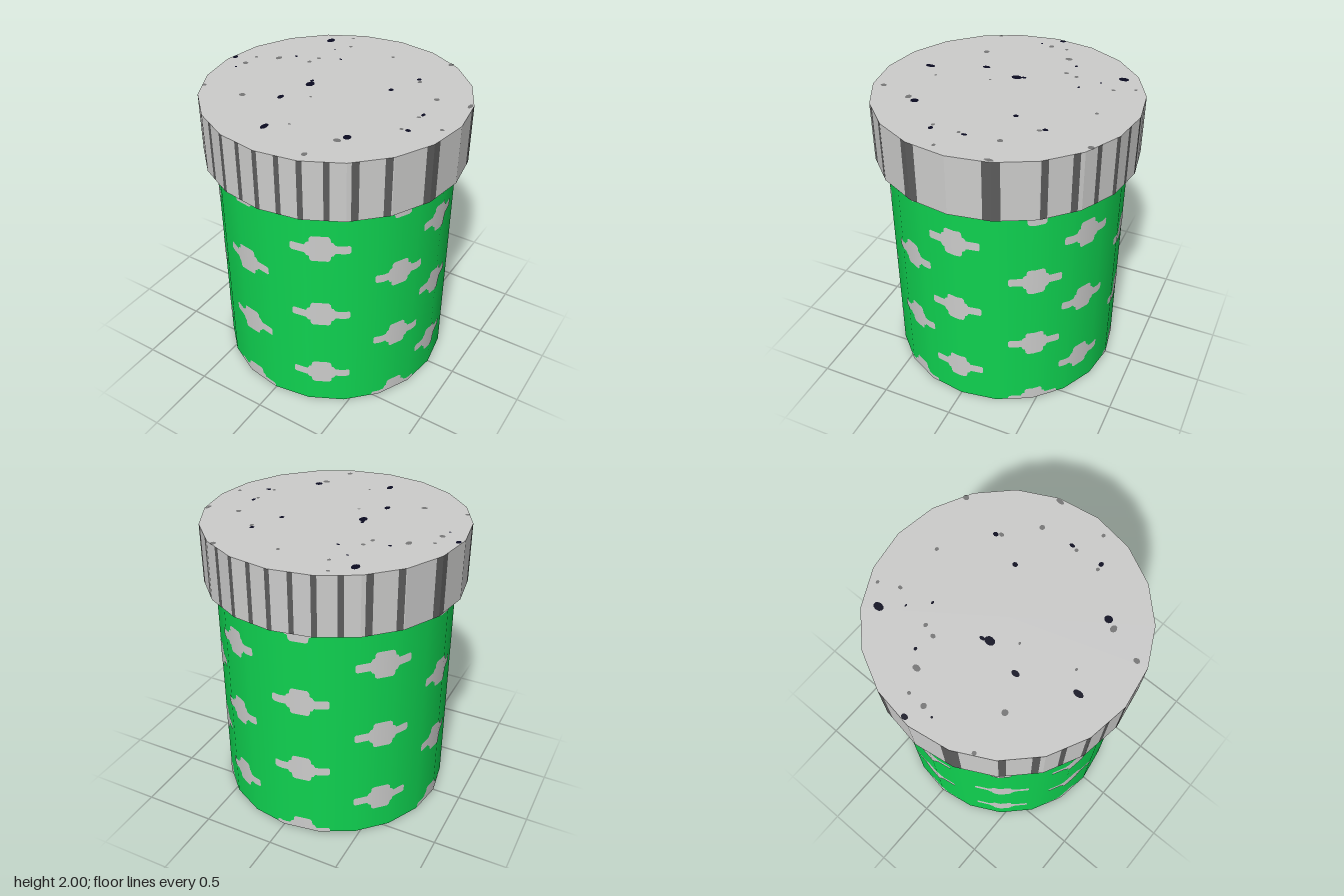
import * as THREE from 'three';
import { mergeGeometries } from 'three/addons/utils/BufferGeometryUtils.js';

const SIDES = 20, STEP = Math.PI * 2 / SIDES;
const BODY_R = 0.8, BODY_H = 1.6, LID_R = 0.875, TOP = 2;
const rad = THREE.MathUtils.degToRad;

// Spots: x, z, x radius, z radius
const darkSpots = [
  [-0.44, -0.63, 0.025, 0.035], [-0.33, -0.51, 0.01, 0.006], [-0.215, -0.4, 0.012, 0.008],
  [-0.5, -0.28, 0.012, 0.01], [-0.847, -0.05, 0.017, 0.022], [-0.75, 0.07, 0.008, 0.008],
  [-0.185, 0.02, 0.027, 0.035], [-0.2, -0.025, 0.012, 0.018], [-0.245, 0.265, 0.018, 0.028],
  [-0.11, 0.62, 0.02, 0.035], [0.37, 0.47, 0.025, 0.027], [0.38, -0.41, 0.015, 0.018],
  [0.295, -0.185, 0.016, 0.018], [0.62, 0, 0.012, 0.02], [0.63, 0.215, 0.018, 0.015],
];
const greySpots = [
  [-0.325, -0.745, 0.013, 0.01], [-0.265, -0.615, 0.012, 0.014], [0.07, -0.62, 0.013, 0.013],
  [0.46, -0.72, 0.018, 0.02], [0.4, -0.38, 0.013, 0.017], [-0.35, -0.335, 0.015, 0.013],
  [-0.375, -0.255, 0.014, 0.017], [-0.585, -0.195, 0.019, 0.026], [-0.725, -0.125, 0.012, 0.012],
  [-0.73, -0.01, 0.02, 0.018], [0.6, -0.22, 0.018, 0.018], [0.815, -0.25, 0.014, 0.03],
  [0.797, 0.105, 0.014, 0.012], [-0.465, 0.37, 0.021, 0.02], [-0.755, 0.39, 0.014, 0.014],
  [0.34, 0.53, 0.025, 0.02], [0.265, 0.755, 0.017, 0.021], [0, 0.52, 0.01, 0.008],
  [-0.085, 0.165, 0.01, 0.008], [0.59, 0.22, 0.013, 0.012], [0.61, 0.04, 0.013, 0.012],
];

function disc(radius, y, up, segments = SIDES) {
  return new THREE.CircleGeometry(radius, segments).rotateX(up ? -Math.PI / 2 : Math.PI / 2).translate(0, y, 0);
}

function spotPlates(list, y, up, scale) {
  return mergeGeometries(list.map(([x, z, rx, rz]) =>
    disc(1, 0, up, 10).scale(rx * scale, 1, rz * scale).translate(x * scale, y, z * scale)));
}

// Lid wall: each flat side is cut at the edges of evenly spaced ribs in x
function lidWall(ribs) {
  const pos = [], spacing = 0.1375, half = 0.016;
  const cuts = [];
  for (let k = -6; k <= 6; k++) cuts.push(k * spacing - half, k * spacing + half);
  for (let i = 0; i < SIDES; i++) {
    const a = [Math.sin(i * STEP) * LID_R, Math.cos(i * STEP) * LID_R];
    const b = [Math.sin((i + 1) * STEP) * LID_R, Math.cos((i + 1) * STEP) * LID_R];
    const ts = cuts.map(c => (c - a[0]) / (b[0] - a[0])).filter(t => t > 0.0001 && t < 0.9999);
    const stops = [0, ...ts.sort((p, q) => p - q), 1];
    const at = t => [a[0] + (b[0] - a[0]) * t, a[1] + (b[1] - a[1]) * t];
    for (let j = 0; j + 1 < stops.length; j++) {
      const midX = at((stops[j] + stops[j + 1]) / 2)[0];
      const isRib = Math.abs(midX - Math.round(midX / spacing) * spacing) < half;
      if (isRib !== ribs) continue;
      const [x0, z0] = at(stops[j]), [x1, z1] = at(stops[j + 1]);
      pos.push(x0, BODY_H, z0, x1, BODY_H, z1, x1, TOP, z1,
        x0, BODY_H, z0, x1, TOP, z1, x0, TOP, z0);
    }
  }
  const g = new THREE.BufferGeometry();
  g.setAttribute('position', new THREE.Float32BufferAttribute(pos, 3));
  g.computeVertexNormals();
  return g;
}

// Cross half-heights along its width, from the left tip to the middle
const halfCross = [[-1, 0.02], [-0.95, 0.03], [-0.5, 0.03], [-0.44, 0.05], [-0.36, 0.055],
  [-0.34, 0.083], [-0.27, 0.095], [0, 0.095]];
const crossOutline = [...halfCross, ...halfCross.slice(0, -1).reverse().map(([u, h]) => [-u, h])];

// Thin cross plate wrapped on the many-sided body
function crossPlate(centre, halfAngle, y) {
  const pos = [], nor = [], idx = [];
  const column = (u, h) => {
    const t = rad(centre + u * halfAngle);
    const within = ((t % STEP) + STEP) % STEP - STEP / 2;
    const r = BODY_R * Math.cos(STEP / 2) / Math.cos(within) + 0.002;
    for (const yy of [y - h, y + h]) {
      pos.push(Math.sin(t) * r, THREE.MathUtils.clamp(yy, 0, BODY_H), Math.cos(t) * r);
      nor.push(Math.sin(t), 0, Math.cos(t));
    }
  };
  crossOutline.forEach(([u, h], i) => {
    const next = crossOutline[i + 1];
    if (!next) return column(u, h);
    const n = Math.ceil((next[0] - u) / 0.07);
    for (let s = 0; s < n; s++) column(u + (next[0] - u) * s / n, h + (next[1] - h) * s / n);
  });
  for (let k = 0; k + 3 < pos.length / 3; k += 2) idx.push(k, k + 2, k + 3, k, k + 3, k + 1);
  const g = new THREE.BufferGeometry();
  g.setAttribute('position', new THREE.Float32BufferAttribute(pos, 3));
  g.setAttribute('normal', new THREE.Float32BufferAttribute(nor, 3));
  g.setIndex(idx);
  return g;
}

export function createModel() {
  const group = new THREE.Group();
  const material = (name, color) => Object.assign(new THREE.MeshStandardMaterial({ color }), { name });
  const green = material('green', 0x0fd250);
  const lightGrey = material('lightGrey', 0xcccccb);
  const ribGrey = material('ribGrey', 0x5c5c5c);
  const spotGrey = material('spotGrey', 0x777777);
  const nearBlack = material('nearBlack', 0x0a0a20);
  const add = (name, geometry, mat) => {
    const mesh = new THREE.Mesh(geometry, mat);
    mesh.name = name;
    group.add(mesh);
  };

  // Body
  add('body', new THREE.CylinderGeometry(BODY_R, BODY_R, BODY_H, SIDES, 1, true).translate(0, BODY_H / 2, 0), green);
  add('bodyBase', disc(BODY_R, 0, false), lightGrey);

  // Staggered crosses: two sets of columns, alternate rows
  const rowGap = BODY_H / 6, crosses = [];
  const columnSets = [[-14, 63, 127, 190, 267], [25, 89, 153, 229, 307]];
  for (let row = 0; row <= 6; row++) {
    for (const angle of columnSets[row % 2]) {
      const halfAngle = angle > 60 && angle < 160 ? 12.7 : 13.8;
      crosses.push(crossPlate(angle, halfAngle, row * rowGap));
    }
  }
  add('bodyCrosses', mergeGeometries(crosses), lightGrey);

  // Lid
  add('lidWall', lidWall(false), lightGrey);
  add('lidRibs', lidWall(true), ribGrey);
  add('lidTop', disc(LID_R, TOP, true), lightGrey);
  add('lidUnderside', disc(LID_R, BODY_H, false), lightGrey);

  // Worn spots on the flat faces
  const faces = [['lidTop', TOP + 0.002, true, 1], ['lidUnderside', BODY_H - 0.002, false, 1],
    ['base', -0.002, false, BODY_R / LID_R]];
  for (const [name, y, up, scale] of faces) {
    add(name + 'DarkSpots', spotPlates(darkSpots, y, up, scale), nearBlack);
    add(name + 'GreySpots', spotPlates(greySpots, y, up, scale), spotGrey);
  }
  return group;
}
